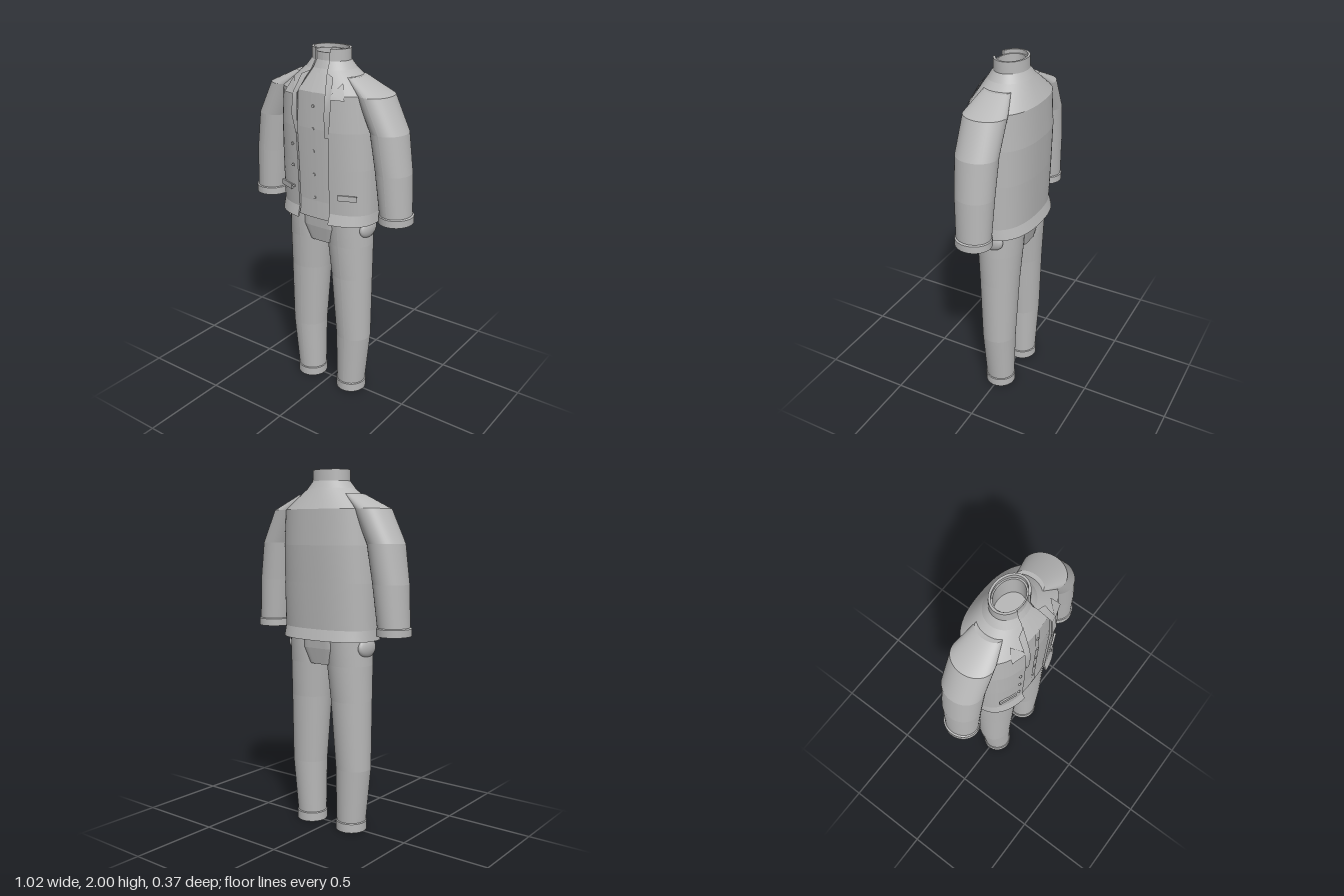
import * as THREE from 'three';
import { mergeGeometries } from 'three/addons/utils/BufferGeometryUtils.js';

const cloth = new THREE.MeshStandardMaterial({ color: 0xb8b8b8, side: THREE.DoubleSide });
cloth.name = 'grey cloth';
const SEG = 48;

// Superellipse ring at height y; gap is the half-width of a front opening
function ring(y, rx, rz, n = 2, gap = 0, cx = 0) {
  const pts = [];
  const a0 = gap ? Math.asin(Math.pow(gap / rx, n / 2)) : 0;
  for (let j = 0; j <= SEG; j++) {
    const a = a0 + (2 * Math.PI - 2 * a0) * j / SEG;
    const s = Math.sin(a), c = Math.cos(a);
    pts.push(new THREE.Vector3(
      cx + rx * Math.sign(s) * Math.pow(Math.abs(s), 2 / n), y,
      rz * Math.sign(c) * Math.pow(Math.abs(c), 2 / n)));
  }
  return pts;
}

// Joins rows of points; smooth along each row, sharp between rows
function loft(rows) {
  const parts = [];
  for (let i = 0; i < rows.length - 1; i++) {
    const n = rows[i].length, pos = [], idx = [];
    [...rows[i], ...rows[i + 1]].forEach(p => pos.push(p.x, p.y, p.z));
    for (let j = 0; j < n - 1; j++) idx.push(j, j + 1, n + j, j + 1, n + j + 1, n + j);
    const g = new THREE.BufferGeometry();
    g.setAttribute('position', new THREE.Float32BufferAttribute(pos, 3));
    g.setIndex(idx);
    g.computeVertexNormals();
    parts.push(g);
  }
  return mergeGeometries(parts);
}

// Row shrunk to its centre, which closes the end of a loft
function point(row) {
  const c = new THREE.Vector3();
  row.forEach(p => c.add(p));
  c.divideScalar(row.length);
  return row.map(() => c.clone());
}
const solid = rows => loft([point(rows[0]), ...rows, point(rows[rows.length - 1])]);

function add(parent, name, geometry, x = 0, y = 0, z = 0) {
  const m = new THREE.Mesh(geometry, cloth);
  m.name = name;
  m.position.set(x, y, z);
  parent.add(m);
  return m;
}

// Limb from [y, inner x, outer x, half depth] rows
const limb = (rows, s) => solid(rows.map(([y, a, b, rz]) =>
  ring(y, (b - a) / 2, rz, 2, 0, s * (a + b) / 2)));

export function createModel() {
  const model = new THREE.Group();
  model.name = 'suit';

  // Open jacket with wall thickness: y, rx, rz, roundness, opening
  const jacketRows = [
    [1.09, 0.292, 0.184, 2.4, 0.1], [1.15, 0.286, 0.166, 2.4, 0.1],
    [1.4, 0.288, 0.176, 2.4, 0.1], [1.6, 0.285, 0.183, 2.4, 0.105],
    [1.79, 0.275, 0.175, 2.4, 0.1], [1.9, 0.14, 0.113, 2.1, 0.05],
    [1.94, 0.11, 0.09, 2, 0.045], [2, 0.11, 0.087, 2, 0.045]];
  const outer = jacketRows.map(r => ring(...r));
  const inner = jacketRows.map(([y, rx, rz, n, g]) => ring(y, rx - 0.012, rz - 0.012, n, g));
  const last = outer.length - 1;
  const edge = (rows, j) => rows.map(r => r[j]);
  add(model, 'jacket', mergeGeometries([
    loft(outer), loft([...inner].reverse()),
    loft([outer[last], inner[last]]), loft([inner[0], outer[0]]),
    loft([edge(outer, 0), edge(inner, 0)]), loft([edge(inner, SEG), edge(outer, SEG)])]));

  // Shirt with a hollow neck
  add(model, 'shirt', solid([
    ring(1.1, 0.265, 0.155, 2.4), ring(1.2, 0.265, 0.152, 2.4), ring(1.6, 0.262, 0.164, 2.4),
    ring(1.79, 0.25, 0.158, 2.4), ring(1.9, 0.115, 0.093, 2.1),
    ring(1.94, 0.097, 0.077), ring(1.98, 0.097, 0.075),
    ring(1.98, 0.088, 0.068), ring(1.85, 0.088, 0.068)]));

  // Shirt placket and buttons
  const placketPath = [[1.12, 0.157], [1.2, 0.155], [1.6, 0.167], [1.79, 0.161], [1.88, 0.107]];
  add(model, 'placket', loft(placketPath.map(([y, z]) =>
    [-0.015, 0.015].map(x => new THREE.Vector3(x, y, z)))));
  const disc = new THREE.CylinderGeometry(0.008, 0.008, 0.008, 12).rotateX(Math.PI / 2);
  for (const [y, z] of [[1.22, 0.157], [1.35, 0.16], [1.48, 0.164], [1.6, 0.168], [1.72, 0.165]])
    add(model, 'shirtButton', disc, 0, y, z);
  for (const y of [1.26, 1.38, 1.5])
    add(model, 'jacketButton', disc, -0.135, y, 0.163 + (y - 1.26) * 0.03);

  for (const s of [1, -1]) {
    const side = s > 0 ? 'left' : 'right';

    // Sleeve with a hollow cuff
    add(model, side + 'Sleeve', limb([
      [1.19, 0.355, 0.48, 0.066], [1.13, 0.355, 0.48, 0.066],
      [1.13, 0.325, 0.51, 0.1], [1.17, 0.325, 0.51, 0.1], [1.175, 0.33, 0.5, 0.095],
      [1.4, 0.3, 0.49, 0.105], [1.61, 0.265, 0.46, 0.113],
      [1.79, 0.18, 0.37, 0.115], [1.87, 0.11, 0.2, 0.075]], s));

    // Trouser leg with a hollow cuff
    add(model, side + 'Leg', limb([
      [0.08, 0.08, 0.205, 0.06], [0, 0.08, 0.205, 0.06],
      [0, 0.056, 0.23, 0.088], [0.05, 0.056, 0.23, 0.088], [0.055, 0.06, 0.226, 0.084],
      [0.36, 0.055, 0.257, 0.096], [0.75, 0.024, 0.258, 0.112],
      [0.95, 0.001, 0.258, 0.125], [1.15, 0, 0.252, 0.14]], s));

    // Hip pocket bulge
    add(model, side + 'HipPocket', new THREE.SphereGeometry(1, 20, 12)
      .scale(0.028, 0.055, 0.075), s * 0.243, 1.05, 0);

    // Folded lapel, peaked toward the shoulder
    const inEdge = [[0.088, 1.57, 0.183], [0.085, 1.68, 0.189], [0.088, 1.78, 0.183], [0.055, 1.89, 0.118]];
    const outEdge = [[0.105, 1.57, 0.18], [0.125, 1.67, 0.187], [0.12, 1.78, 0.177], [0.1, 1.87, 0.126]];
    const row = e => e.map(([x, y, z]) => new THREE.Vector3(s * x, y, z));
    const edges = [row(outEdge), row(inEdge)];
    add(model, side + 'Lapel', loft(s > 0 ? edges : edges.reverse()));
    const peak = [[[0.11, 1.77, 0.18], [0.19, 1.77, 0.157]], [[0.12, 1.8, 0.165], [0.155, 1.85, 0.118]]];
    add(model, side + 'LapelPeak', loft(peak.map(e => s > 0 ? row(e) : row(e).reverse())));

    // Jacket pocket flap
    add(model, side + 'PocketFlap', new THREE.BoxGeometry(0.1, 0.03, 0.009), s * 0.2, 1.25, 0.139)
      .rotation.y = s * 0.38;
  }

  // Trouser seat and crotch
  add(model, 'trouserSeat', solid([ring(1.04, 0.235, 0.125, 2.4), ring(1.15, 0.25, 0.14, 2.4)]));
  add(model, 'crotch', solid([ring(0.95, 0.08, 0.115, 5), ring(1.04, 0.12, 0.134, 5), ring(1.12, 0.12, 0.14, 5)]));

  return model;
}
